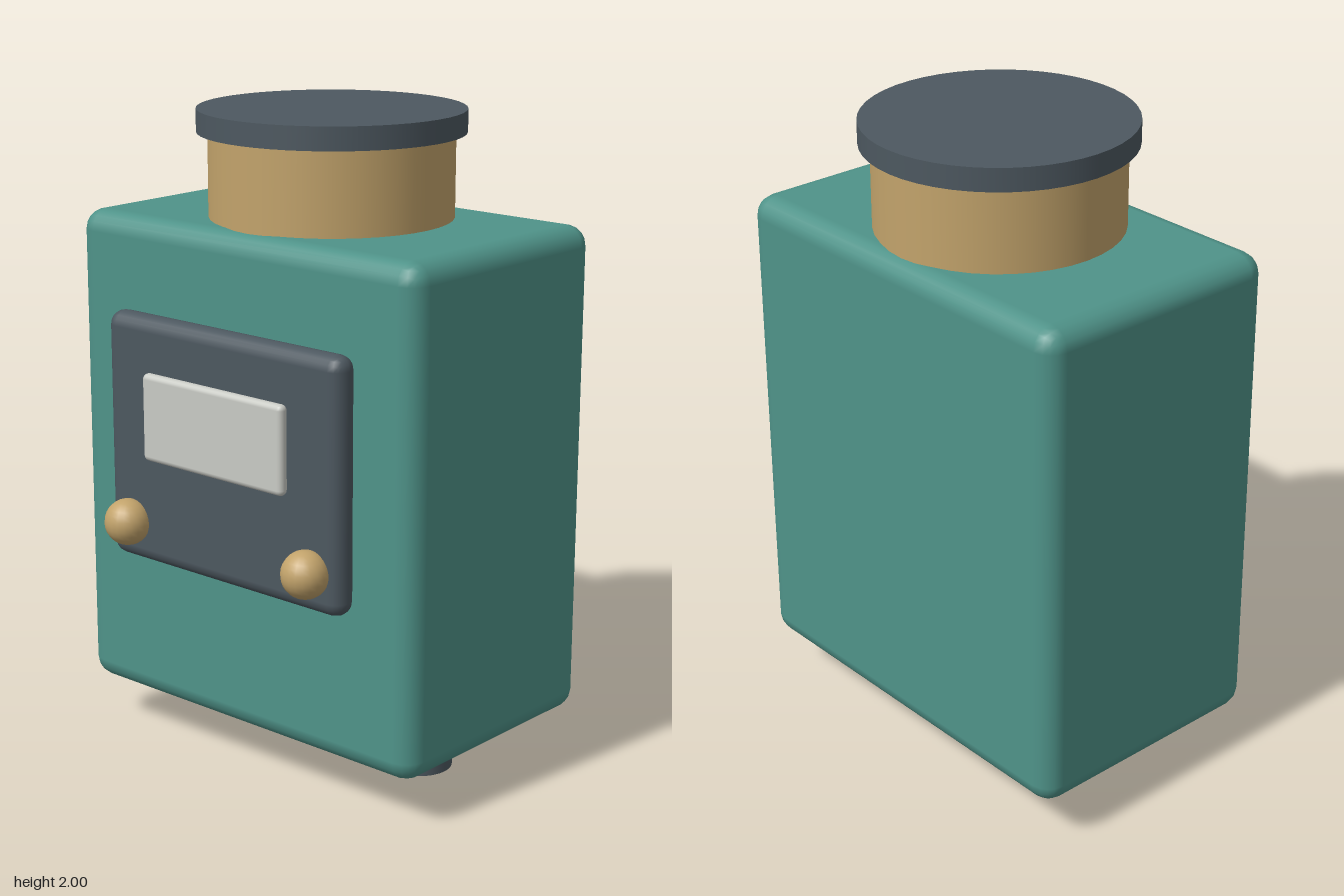
import * as THREE from 'three';
import { RoundedBoxGeometry } from 'three/addons/geometries/RoundedBoxGeometry.js';

export function createModel() {
  const model = new THREE.Group();
  const material = (name, color) => {
    const m = new THREE.MeshStandardMaterial({ color });
    m.name = name;
    return m;
  };
  const teal = material('teal', 0x4f9389);
  const slate = material('slate', 0x4d5860);
  const brass = material('brass', 0xc2a36b);
  const ivory = material('ivory', 0xc9cbc5);

  const add = (name, geometry, mat, x, y, z) => {
    const mesh = new THREE.Mesh(geometry, mat);
    mesh.name = name;
    mesh.position.set(x, y, z);
    model.add(mesh);
  };
  const axisZ = -0.09;

  // Rounded housing
  add('body', new RoundedBoxGeometry(1.336, 1.53, 0.835, 2, 0.065), teal, 0, 0.91, -0.088);

  // Neck and lid
  add('neck', new THREE.CylinderGeometry(0.37, 0.37, 0.28, 40), brass, 0, 1.79, axisZ);
  add('lid', new THREE.CylinderGeometry(0.404, 0.404, 0.07, 48), slate, 0, 1.965, axisZ);

  // Front panel with display
  add('frontPanel', new RoundedBoxGeometry(0.934, 0.77, 0.09, 2, 0.044), slate, 0, 1.015, 0.368);
  add('display', new RoundedBoxGeometry(0.562, 0.27, 0.036, 2, 0.017), ivory, 0, 1.105, 0.43);

  // Paired knobs and feet
  for (const [side, s] of [['left', 1], ['right', -1]]) {
    add(side + 'Knob', new THREE.SphereGeometry(0.072, 20, 14), brass, s * 0.363, 0.757, 0.436);
    add(side + 'Foot', new THREE.CylinderGeometry(0.104, 0.104, 0.16, 28), slate, s * 0.363, 0.08, axisZ);
  }
  return model;
}
